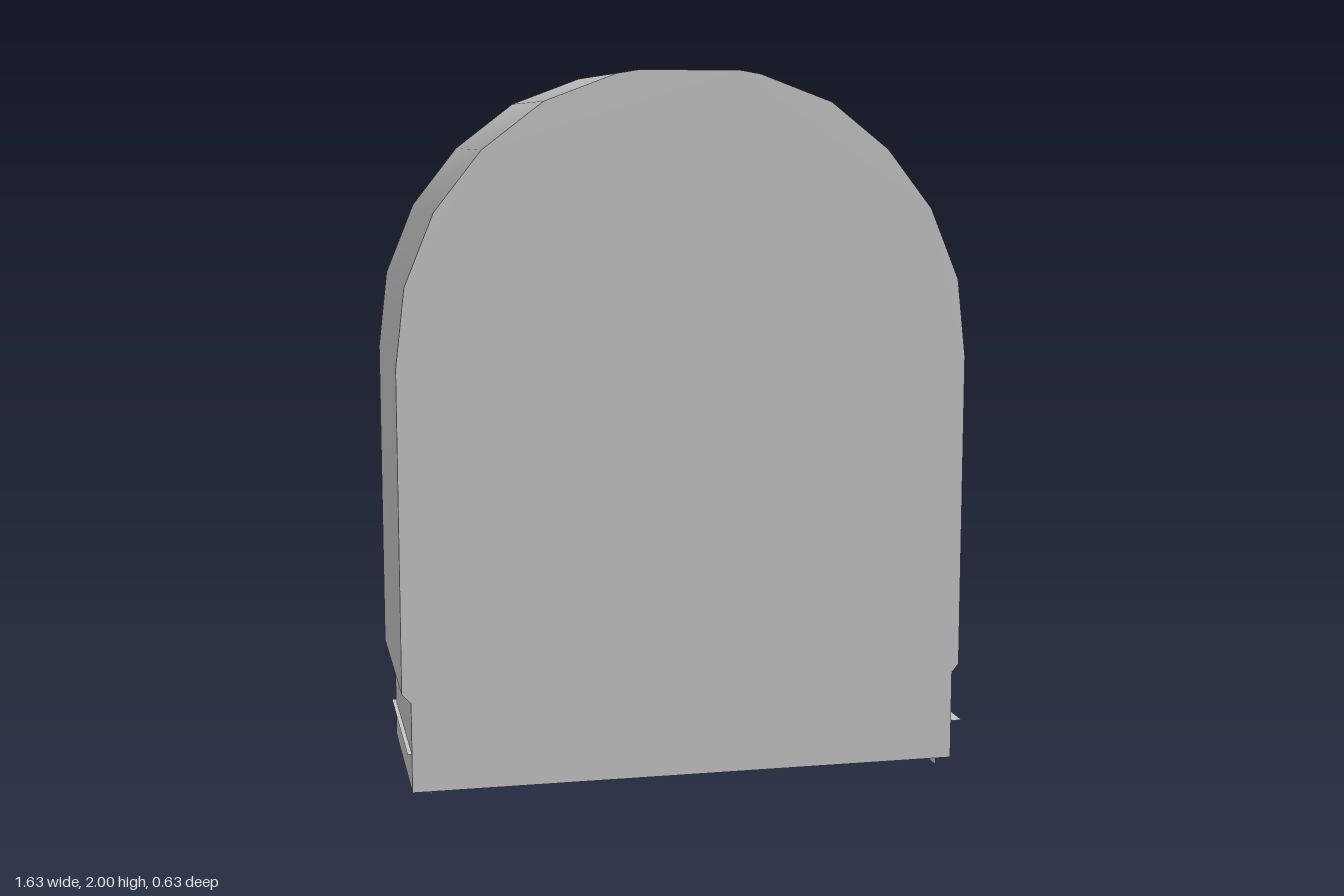
import * as THREE from 'three';

const FRONT = 0.315, BACK = -0.315, INNER_BACK = -0.25;

export function createModel() {
  const group = new THREE.Group();
  const grey = new THREE.MeshStandardMaterial({ color: 0xc4c4c4, side: THREE.DoubleSide });
  grey.name = 'plain grey';

  const add = (name, geometry) => {
    const mesh = new THREE.Mesh(geometry, grey);
    mesh.name = name;
    group.add(mesh);
    return mesh;
  };

  // Smooth sheet swept from the front to the back edge along [x, y, backZ] points
  const sheet = (name, points) => {
    const pos = [], index = [];
    points.forEach(([x, y, z = BACK], i) => {
      pos.push(x, y, FRONT, x, y, z);
      const a = i * 2;
      if (i) index.push(a - 2, a - 1, a, a - 1, a + 1, a);
    });
    const g = new THREE.BufferGeometry();
    g.setAttribute('position', new THREE.Float32BufferAttribute(pos, 3));
    g.setIndex(index);
    g.computeVertexNormals();
    return add(name, g);
  };

  // Arched sides, running from the foot up to the crest (clockwise from the front)
  const leftArch = [
    [-0.813, 0.30], [-0.813, 1.2], [-0.787, 1.42], [-0.705, 1.62],
    [-0.575, 1.785], [-0.405, 1.915], [-0.205, 1.99], [-0.143, 2.0],
  ];
  const rightArch = [
    [0.137, 2.0], [0.195, 1.99], [0.398, 1.915], [0.563, 1.785],
    [0.692, 1.62], [0.775, 1.42], [0.80, 1.2], [0.80, 0.30],
  ];
  sheet('rightArchWall', leftArch);
  sheet('leftArchWall', rightArch);

  // Shallow sunken panel along the crest, with a step at each side
  sheet('crestPanel', [[-0.143, 1.96], [-0.045, 1.978], [0.04, 1.978], [0.137, 1.96]]);
  sheet('crestStepRight', [[-0.143, 2.0], [-0.143, 1.96]]);
  sheet('crestStepLeft', [[0.137, 1.96], [0.137, 2.0]]);

  // Tapered lip, lower wall, ledge and inner skirt on each side
  for (const s of [-1, 1]) {
    const left = s > 0;
    const side = left ? 'left' : 'right';
    const body = left ? 0.80 : -0.813;
    const wall = left ? 0.78 : -0.788;
    const ledge = left ? 0.813 : -0.80;
    const skirt = s * 0.735;
    const strip = (name, pts) => sheet(side + name, left ? pts : pts.reverse());
    strip('Lip', [[body, 0.30, BACK], [wall, 0.275, INNER_BACK]]);
    strip('LowerWall', [[wall, 0.275, INNER_BACK], [wall, 0.02, INNER_BACK]]);
    strip('Ledge', [[wall, 0.13, INNER_BACK], [ledge, 0.13, INNER_BACK]].reverse());
    strip('InnerSlope', [[wall, 0.13, INNER_BACK], [skirt, 0.105, INNER_BACK]]);
    strip('Skirt', [[skirt, 0.105, INNER_BACK], [skirt, 0, INNER_BACK]]);
  }

  // Floor between the lower walls
  sheet('floor', [[0.78, 0.02, INNER_BACK], [-0.788, 0.02, INNER_BACK]]);

  // Flat front plate
  const outline = [
    [-0.788, 0.02], [-0.788, 0.275], ...leftArch, ...rightArch, [0.78, 0.275], [0.78, 0.02],
  ].map(([x, y]) => new THREE.Vector2(x, y));
  add('frontPlate', new THREE.ShapeGeometry(new THREE.Shape(outline))).position.z = FRONT;

  return group;
}
